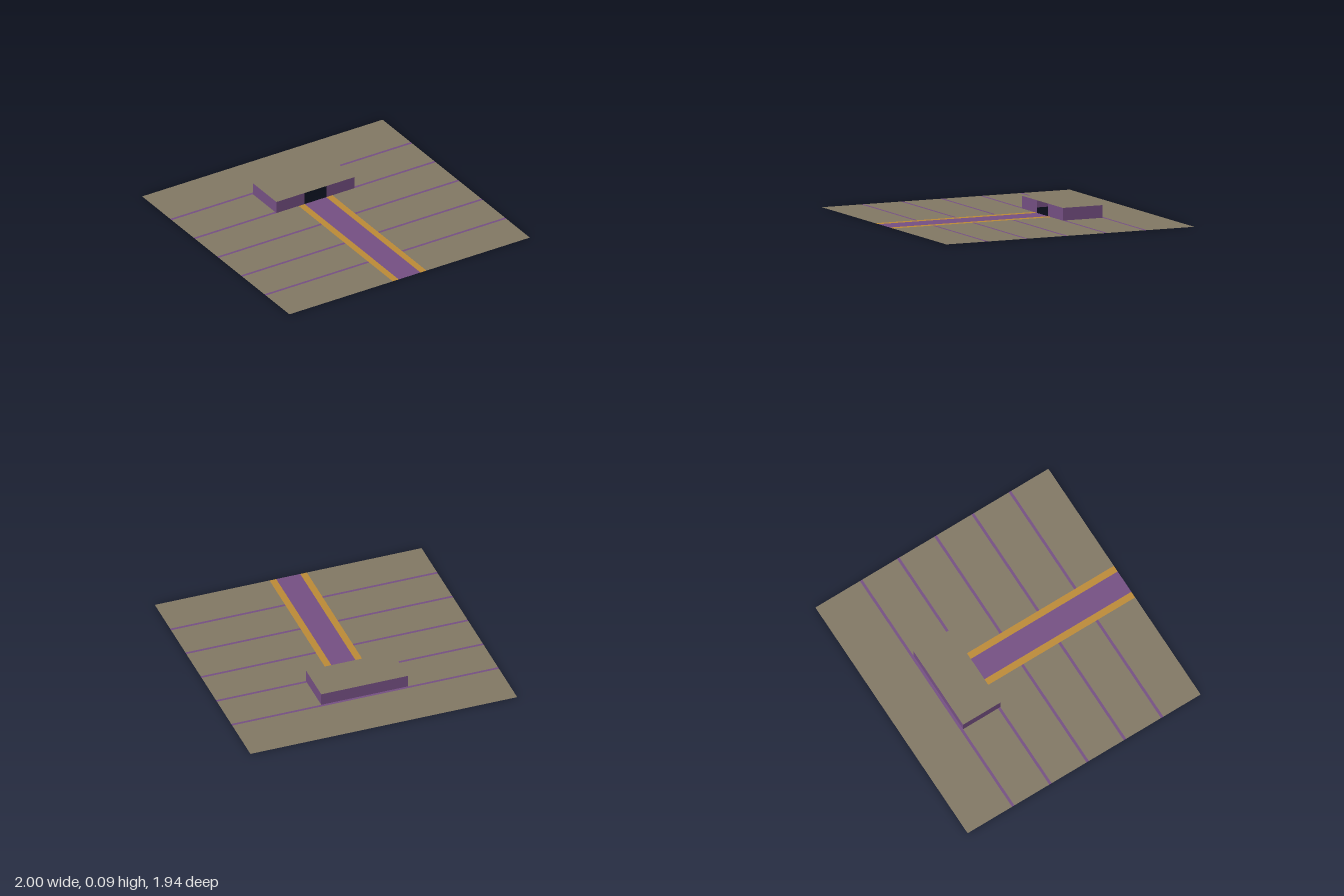
import * as THREE from 'three';

const material = (color) => new THREE.MeshStandardMaterial({ color, side: THREE.DoubleSide, flatShading: true });

export function createModel() {
  const model = new THREE.Group();
  const tan = material(0x837965);
  const purple = material(0x765084);
  const gold = material(0xbe8c37);

  // Ground extents, building footprint, path half widths
  const W = 1, D = 0.97;
  const bx = 0.325, z0 = -0.58, z1 = -0.27, h = 0.09;
  const lane = 0.09, edge = 0.14;

  // Horizontal sheet facing up
  function sheet(name, mat, xa, xb, za, zb, y = 0) {
    const g = new THREE.PlaneGeometry(xb - xa, zb - za).rotateX(-Math.PI / 2);
    const m = new THREE.Mesh(g, mat);
    m.position.set((xa + xb) / 2, y, (za + zb) / 2);
    m.name = name;
    model.add(m);
  }

  // Upright wall between two floor points, outside to the right of a -> b seen from above
  function wall(name, ax, az, bx2, bz) {
    const g = new THREE.PlaneGeometry(Math.hypot(bx2 - ax, bz - az), h);
    const m = new THREE.Mesh(g, purple);
    m.position.set((ax + bx2) / 2, h / 2, (az + bz) / 2);
    m.rotation.y = Math.atan2(az - bz, bx2 - ax);
    m.name = name;
    model.add(m);
  }

  // A ground band leaves out the open building footprint or the path
  function band(name, mat, za, zb) {
    const mid = (za + zb) / 2;
    const gap = mid < z0 ? 0 : mid < z1 ? bx : edge;
    if (gap === 0) return sheet(name, mat, -W, W, za, zb);
    sheet(name + 'Right', mat, -W, -gap, za, zb);
    sheet(name + 'Left', mat, gap, W, za, zb);
  }

  // Ground with thin cross stripes
  let z = -D;
  for (let i = 0; i < 5; i++) {
    const start = -0.6 + i * 0.31;
    band('ground', tan, z, start);
    band('groundStripe', purple, start, start + 0.02);
    z = start + 0.02;
  }
  band('ground', tan, z, D);

  // Path with gold borders
  sheet('path', purple, -lane, lane, z1, D);
  sheet('pathBorderRight', gold, -edge, -lane, z1, D);
  sheet('pathBorderLeft', gold, lane, edge, z1, D);

  // Low building, open below and at the doorway
  sheet('roof', tan, -bx, bx, z0, z1, h);
  wall('frontWallRight', -bx, z1, -lane, z1);
  wall('frontWallLeft', lane, z1, bx, z1);
  wall('leftWall', bx, z1, bx, z0);
  wall('backWall', bx, z0, -bx, z0);
  wall('rightWall', -bx, z0, -bx, z1);

  return model;
}
